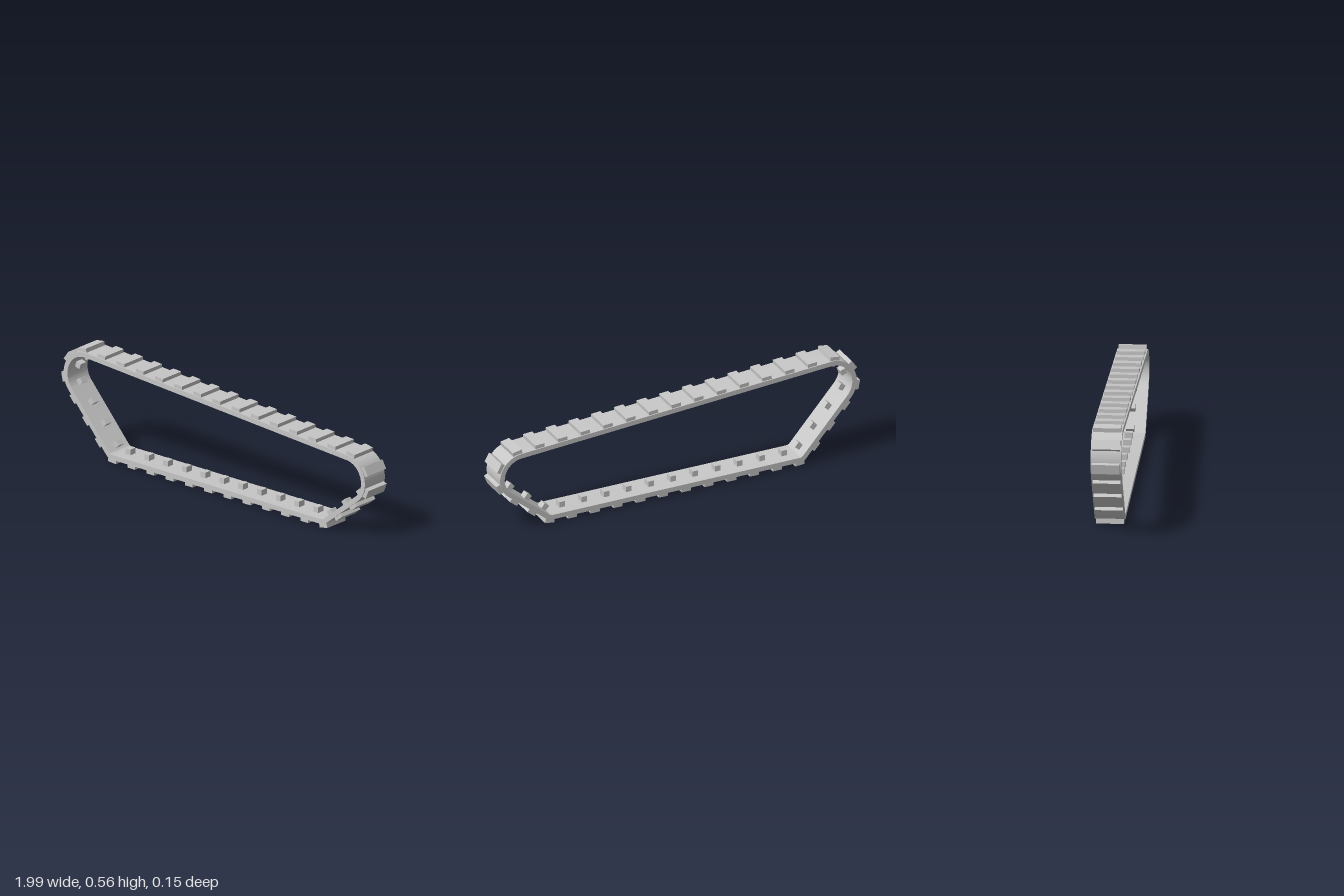
import * as THREE from 'three';
import { toCreasedNormals } from 'three/addons/utils/BufferGeometryUtils.js';

const BELT = 0.025, COUNT = 36;

// Wheels the belt wraps around, counter-clockwise: x, y, outer belt radius
const WHEELS = [
  [-0.665, 0.07, 0.05],
  [0.69, 0.07, 0.05],
  [0.85, 0.297, 0.125],
  [-0.843, 0.402, 0.135],
];

// Angle of the outward normal on the tangent line from wheel a to wheel b
function tangentNormal(a, b) {
  const dx = b[0] - a[0], dy = b[1] - a[1];
  return Math.atan2(dy, dx) - Math.PI / 2 + Math.asin((a[2] - b[2]) / Math.hypot(dx, dy));
}

// Closed loop around the wheels, moved outward by offset
function wrap(path, offset) {
  const n = WHEELS.length;
  WHEELS.forEach((w, i) => {
    const start = tangentNormal(WHEELS[(i + n - 1) % n], w);
    const end = tangentNormal(w, WHEELS[(i + 1) % n]);
    path.absarc(w[0], w[1], w[2] + offset, start, end, false);
  });
  path.closePath();
  return path;
}

// Evenly spaced boxes along the loop; startX is the first one's place on the bottom run
function placeAlong(group, name, geometry, material, pathOffset, shift, startX) {
  const path = wrap(new THREE.Path(), pathOffset);
  const start = path.curves[0].getLength() + startX - WHEELS[0][0];
  const length = path.getLength();
  for (let i = 0; i < COUNT; i++) {
    const t = (start / length + i / COUNT + 1) % 1;
    const p = path.getPoint(t), d = path.getTangent(t);
    const mesh = new THREE.Mesh(geometry, material);
    mesh.name = name;
    mesh.position.set(p.x + d.y * shift, p.y - d.x * shift, 0);
    mesh.rotation.z = Math.atan2(d.y, d.x);
    group.add(mesh);
  }
}

export function createModel() {
  const model = new THREE.Group();
  model.name = 'crawlerTrack';
  const grey = new THREE.MeshStandardMaterial({ color: 0xc6c6c6 });
  grey.name = 'trackGrey';

  // Continuous belt
  const shape = wrap(new THREE.Shape(), 0);
  shape.holes.push(wrap(new THREE.Path(), -BELT));
  const beltGeometry = new THREE.ExtrudeGeometry(shape, { depth: 0.15, bevelEnabled: false, curveSegments: 24 });
  beltGeometry.translate(0, 0, -0.075);
  const belt = new THREE.Mesh(toCreasedNormals(beltGeometry, 0.5), grey);
  belt.name = 'belt';
  model.add(belt);

  // Wide grip pads on the outside
  const pads = new THREE.Group();
  pads.name = 'gripPads';
  placeAlong(pads, 'gripPad', new THREE.BoxGeometry(0.05, 0.026, 0.138), grey, 0.017, -0.011, -0.67);
  model.add(pads);

  // Small guide teeth on the inside
  const teeth = new THREE.Group();
  teeth.name = 'guideTeeth';
  placeAlong(teeth, 'guideTooth', new THREE.BoxGeometry(0.03, 0.036, 0.04), grey, 0, -0.0365, 0);
  model.add(teeth);

  return model;
}
